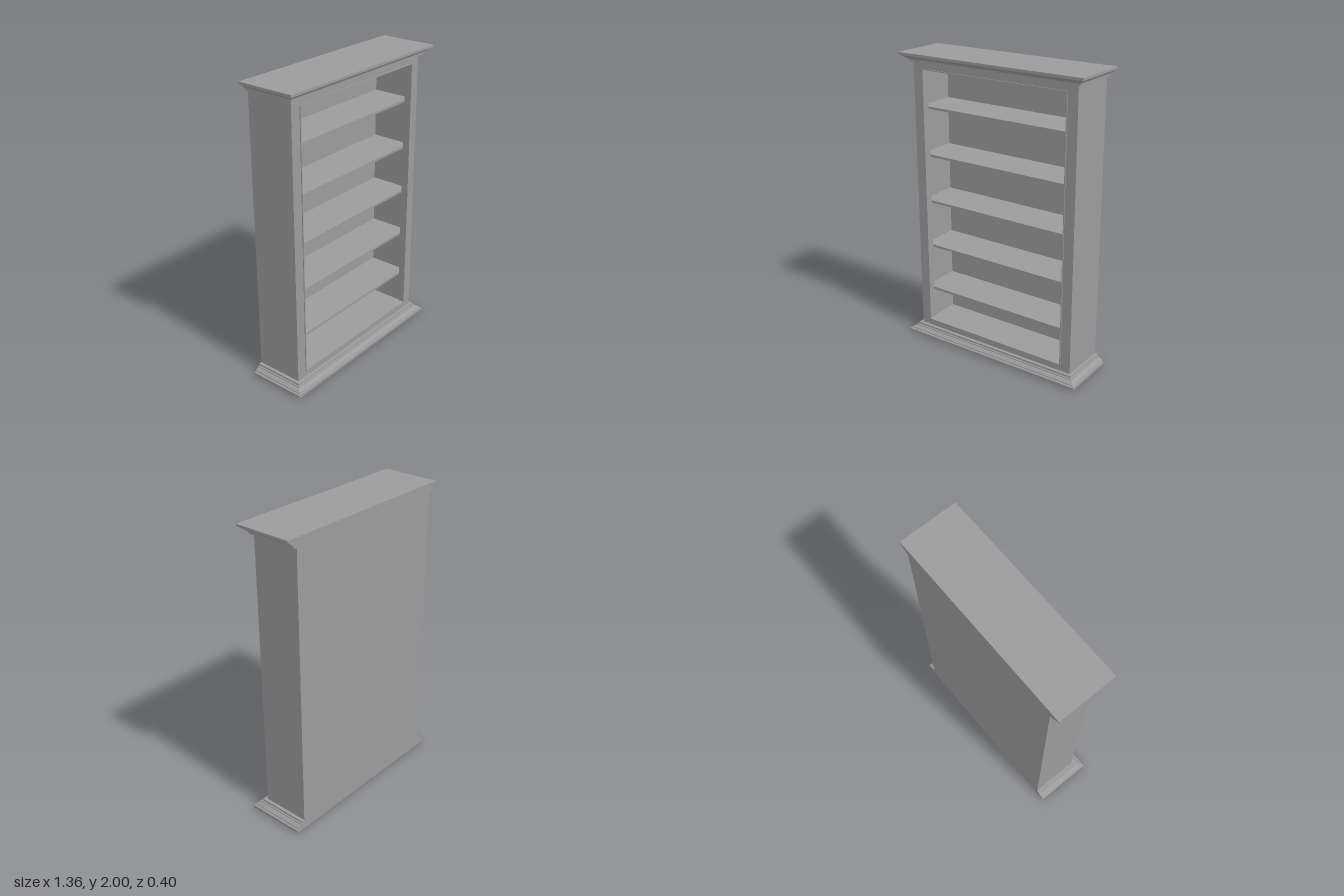
import * as THREE from 'three';

const W = 0.61, BACK = -0.198, FRONT = 0.13;    // carcass half width and depth limits
const BASE = 0.065, TOP = 1.94;                 // carcass bottom and top
const OW = 0.54, OB = 0.107, OT = 1.898;        // opening half width, bottom, top
const FRAME_BACK = 0.086, BOARD = 0.016, PANEL = 0.006;
const material = new THREE.MeshStandardMaterial({ color: 0x9b9b9b, flatShading: true });

function add(group, name, geometry, x = 0, y = 0, z = 0) {
  const mesh = new THREE.Mesh(geometry, material);
  mesh.name = name;
  mesh.position.set(x, y, z);
  group.add(mesh);
}

function trace(path, w, y0, y1) {
  path.moveTo(-w, y0);
  path.lineTo(w, y0);
  path.lineTo(w, y1);
  path.lineTo(-w, y1);
  path.closePath();
  return path;
}

// Rectangular frame running from z0 to z1
function frame(outer, inner, z0, z1) {
  const shape = trace(new THREE.Shape(), ...outer);
  shape.holes.push(trace(new THREE.Path(), ...inner));
  return new THREE.ExtrudeGeometry(shape, { depth: z1 - z0, bevelEnabled: false }).translate(0, 0, z0);
}

// Mitred moulding on front and sides, flush at the back; profile = [projection, y] going up
function moulding(profile) {
  const rings = profile.map(([d, y]) => [
    [-W - d, y, BACK], [-W - d, y, FRONT + d], [W + d, y, FRONT + d], [W + d, y, BACK],
  ]);
  const pos = [];
  const quad = (a, b, c, d) => pos.push(...a, ...b, ...c, ...a, ...c, ...d);
  for (let r = 0; r < rings.length - 1; r++) {
    for (let i = 0; i < 4; i++) {
      const j = (i + 1) % 4;
      quad(rings[r][i], rings[r][j], rings[r + 1][j], rings[r + 1][i]);
    }
  }
  const [a, b, c, d] = rings[0];
  quad(d, c, b, a);
  quad(...rings[rings.length - 1]);
  const geometry = new THREE.BufferGeometry();
  geometry.setAttribute('position', new THREE.Float32BufferAttribute(pos, 3));
  geometry.computeVertexNormals();
  return geometry;
}

export function createModel() {
  const group = new THREE.Group();
  group.name = 'bookcase';

  // Hollow carcass of thin boards, closed by a thin back
  const shell = [W - BOARD, BASE + 0.006, TOP - 0.006];
  add(group, 'carcass', frame([W, BASE, TOP], shell, BACK, FRAME_BACK));
  add(group, 'backPanel', new THREE.BoxGeometry(2 * shell[0], shell[2] - shell[1], PANEL),
    0, (TOP + BASE) / 2, BACK + PANEL / 2);

  // Face frame, narrower than the interior, with a thin lining standing slightly proud
  add(group, 'faceFrame', frame([W, BASE, TOP], [OW, OB, OT], FRAME_BACK, FRONT));
  add(group, 'openingTrim', frame([OW, OB, OT], [OW - 0.006, OB + 0.006, OT - 0.006], FRAME_BACK, FRONT + 0.006));

  // Shelves spanning the full interior behind the face frame
  const depth = FRAME_BACK - BACK - PANEL;
  for (let i = 0; i < 5; i++) {
    add(group, 'shelf' + (i + 1), new THREE.BoxGeometry(2 * shell[0], BOARD, depth),
      0, 0.336 + i * 0.325, FRAME_BACK - depth / 2);
  }

  // Stepped plinth and cornice
  add(group, 'plinth', moulding([
    [0.068, 0], [0.068, 0.02], [0.057, 0.022], [0.054, 0.03], [0.046, 0.036],
    [0.038, 0.042], [0.032, 0.044], [0.031, 0.051], [0.022, 0.052], [0.021, 0.065],
  ]));
  add(group, 'cornice', moulding([
    [0.016, 1.94], [0.016, 1.953], [0.026, 1.954], [0.029, 1.961], [0.038, 1.965],
    [0.044, 1.971], [0.054, 1.977], [0.056, 1.983], [0.068, 1.985], [0.068, 2],
  ].map(([d, y]) => [d < 0.02 ? 0.021 : d, y])));
  return group;
}
